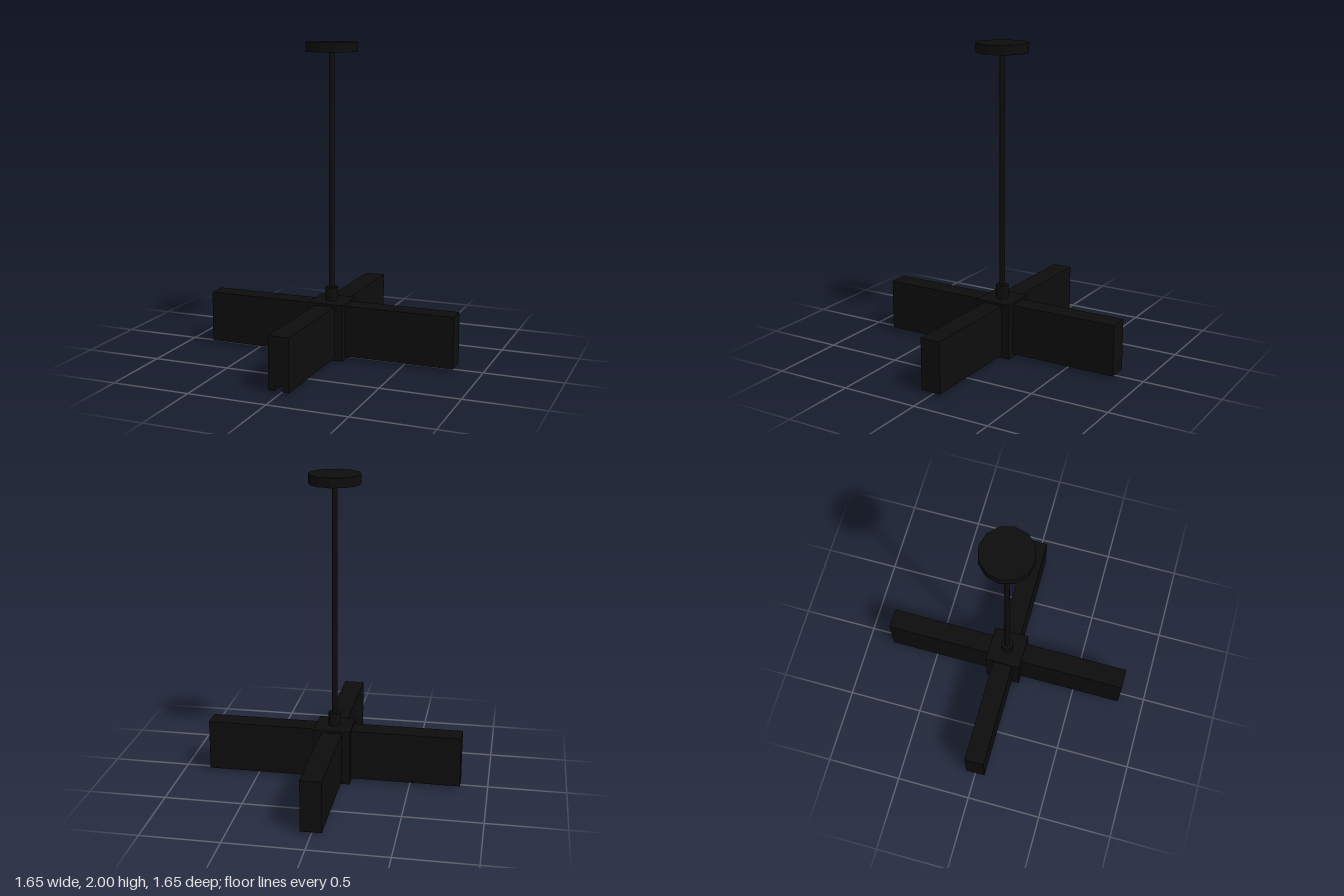
import * as THREE from 'three';

export function createModel() {
  const model = new THREE.Group();
  model.name = 'pendantLamp';
  const black = new THREE.MeshStandardMaterial({ color: 0x0d0d0d, flatShading: true });
  black.name = 'matte black';

  const add = (name, geometry, parent, x = 0, y = 0, z = 0) => {
    const mesh = new THREE.Mesh(geometry, black);
    mesh.name = name;
    mesh.position.set(x, y, z);
    parent.add(mesh);
    return mesh;
  };
  const rod = (name, radius, y0, y1, sides) =>
    add(name, new THREE.CylinderGeometry(radius, radius, y1 - y0, sides), model, 0, (y0 + y1) / 2);

  // Ceiling mount, hanging rod and collar
  rod('ceilingCanopy', 0.164, 1.94, 2, 12);
  rod('hangingRod', 0.018, 0.44, 1.95, 12);
  rod('rodCollar', 0.04, 0.36, 0.45, 12);

  // Square centre hub
  add('hub', new THREE.BoxGeometry(0.236, 0.365, 0.236), model, 0, 0.1825);

  // Arm cross-section with a slot along the underside
  const w = 0.066, bottom = 0.02, top = 0.35, slot = 0.025, depth = 0.03;
  const section = new THREE.Shape([
    [-w, bottom], [-slot, bottom], [-slot, bottom + depth], [slot, bottom + depth],
    [slot, bottom], [w, bottom], [w, top], [-w, top],
  ].map(([x, y]) => new THREE.Vector2(x, y)));
  const inner = 0.11, outer = 0.825, cap = 0.012;
  const armGeometry = new THREE.ExtrudeGeometry(section, { depth: outer - inner, bevelEnabled: false });

  // Four arms; the slot stays open at the front end only
  ['front', 'left', 'back', 'right'].forEach((side, i) => {
    const arm = new THREE.Group();
    arm.name = side + 'Arm';
    arm.rotation.y = i * Math.PI / 2;
    add('armBody', armGeometry, arm, 0, 0, inner);
    if (i > 0) {
      add('slotEnd', new THREE.BoxGeometry(slot * 2, depth, cap), arm, 0, bottom + depth / 2, outer - cap / 2);
    }
    model.add(arm);
  });

  return model;
}
